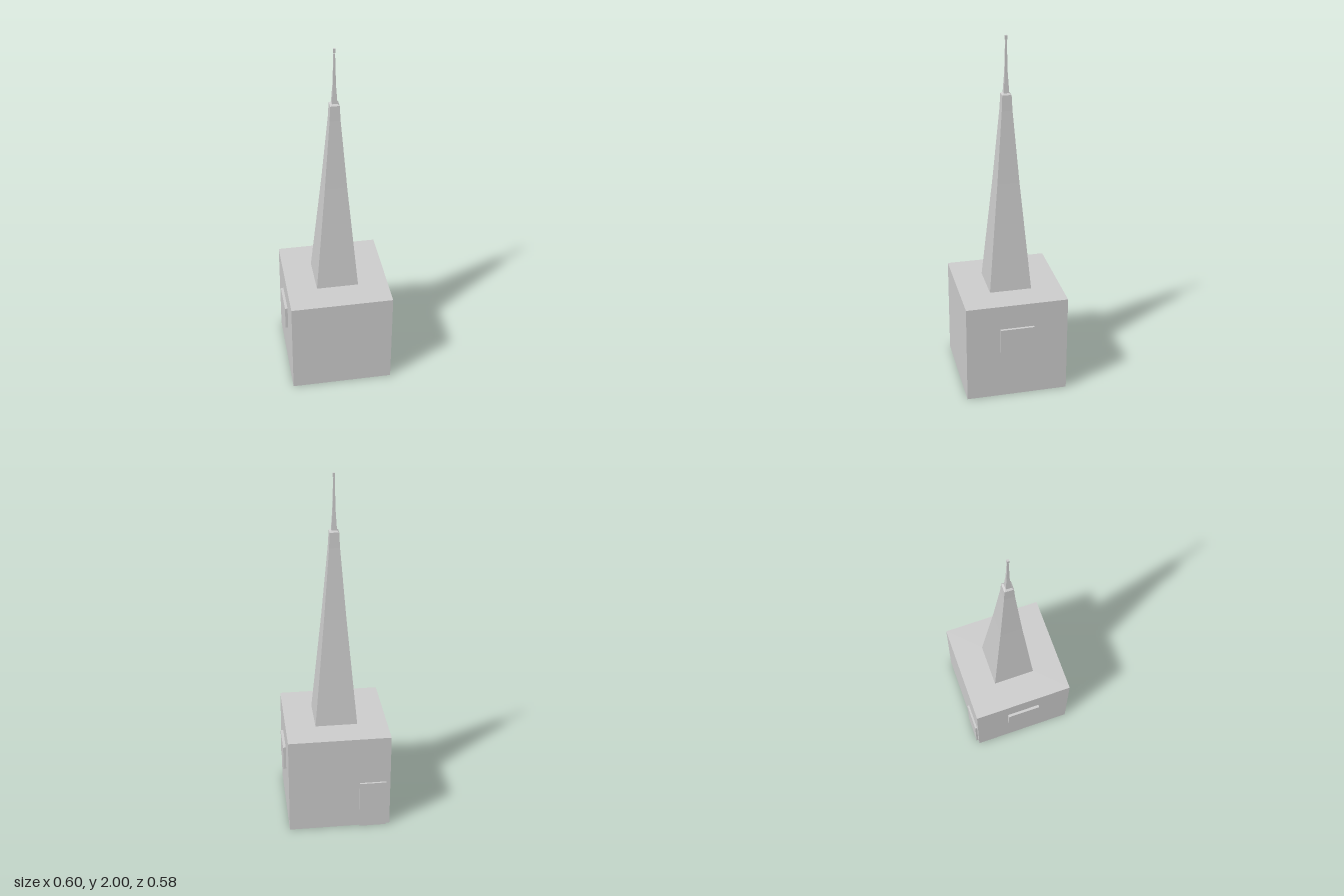
import * as THREE from 'three';

const material = new THREE.MeshStandardMaterial({ color: 0xcccccc, flatShading: true });
const CENTRE_Z = 0.004;

// Box given by its minimum and maximum corners
function box(name, [x0, y0, z0], [x1, y1, z1]) {
  const mesh = new THREE.Mesh(new THREE.BoxGeometry(x1 - x0, y1 - y0, z1 - z0), material);
  mesh.name = name;
  mesh.position.set((x0 + x1) / 2, (y0 + y1) / 2, (z0 + z1) / 2);
  return mesh;
}

// Square tapering tower from [half width, height] pairs, bottom to top
function squareTower(name, profile) {
  const points = profile.map(([half, y]) => new THREE.Vector2(half * Math.SQRT2, y));
  const mesh = new THREE.Mesh(new THREE.LatheGeometry(points, 4, Math.PI / 4), material);
  mesh.name = name;
  mesh.position.z = CENTRE_Z;
  return mesh;
}

export function createModel() {
  const model = new THREE.Group();
  model.name = 'spireBuilding';

  // Cubic hall
  model.add(box('hall', [-0.286, 0, -0.282], [0.286, 0.572, 0.29]));

  // Window panels on both sides
  for (const side of [-1, 1]) {
    const pane = box(side > 0 ? 'leftWindow' : 'rightWindow',
      [0.28, 0.288, -0.091], [0.301, 0.43, 0.1]);
    pane.position.x *= side;
    model.add(pane);
  }

  // Door at the back
  model.add(box('door', [-0.263, 0, -0.293], [-0.112, 0.286, -0.276]));

  // Tall spire with a narrow sloping ledge on top
  model.add(squareTower('spire', [
    [0.118, 0.57], [0.061, 1.2], [0.029, 1.6], [0.025, 1.685], [0.015, 1.693], [0, 1.693],
  ]));

  // Slim needle with a small square tip
  model.add(squareTower('needle', [
    [0.015, 1.69], [0.008, 1.8], [0.004, 1.975],
  ]));
  model.add(squareTower('needleTip', [
    [0, 1.975], [0.006, 1.978], [0.006, 2], [0, 2],
  ]));

  return model;
}
